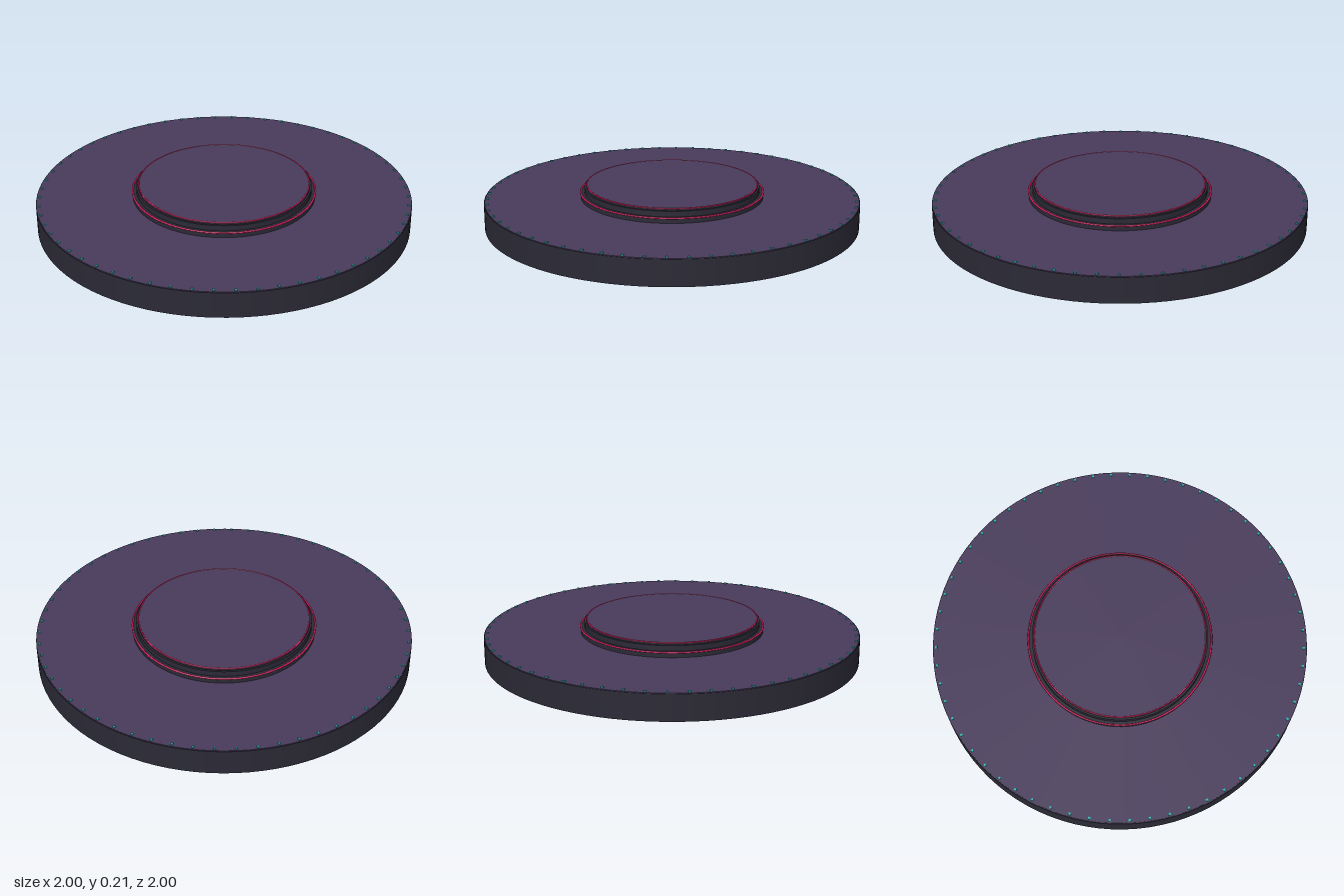
import * as THREE from 'three';

export function createModel() {
  const model = new THREE.Group();
  const mat = (name, color) => {
    const m = new THREE.MeshStandardMaterial({ color });
    m.name = name;
    return m;
  };
  const dark = mat('dark slate', 0x2b2a36);
  const purple = mat('dusky purple', 0x483b5b);
  const pink = mat('magenta trim', 0xd81f62);
  const teal = mat('teal lights', 0x25b5b0);

  const add = (name, geometry, material, y) => {
    const mesh = new THREE.Mesh(geometry, material);
    mesh.name = name;
    mesh.position.y = y;
    model.add(mesh);
    return mesh;
  };
  // Solid disc from height y0 to y1
  const disc = (name, r, y0, y1, material) =>
    add(name, new THREE.CylinderGeometry(r, r, y1 - y0, 96), material, (y0 + y1) / 2);
  // Thin horizontal trim ring
  const ring = (name, r, tube, y) => {
    const g = new THREE.TorusGeometry(r, tube, 8, 96);
    g.rotateX(Math.PI / 2);
    return add(name, g, pink, y);
  };

  // Wide base with its floor surface
  disc('base', 1, 0, 0.137, dark);
  disc('floor', 0.996, 0.137, 0.14, purple);

  // Stepped central platform
  disc('lowerStep', 0.488, 0.14, 0.168, dark);
  disc('middleStep', 0.468, 0.168, 0.197, dark);
  disc('upperStep', 0.458, 0.197, 0.206, dark);
  disc('platformTop', 0.452, 0.206, 0.209, purple);

  // Glowing trims on the step edges
  ring('lowerTrim', 0.488, 0.005, 0.167);
  ring('upperTrim', 0.455, 0.004, 0.207);

  // Small lights around the rim
  const lightGeometry = new THREE.BoxGeometry(0.012, 0.008, 0.012);
  for (let i = 0; i < 60; i++) {
    const a = (i / 60) * Math.PI * 2;
    const light = add('rimLight', lightGeometry, teal, 0.142);
    light.position.x = Math.cos(a) * 0.982;
    light.position.z = Math.sin(a) * 0.982;
    light.rotation.y = -a;
  }
  return model;
}
